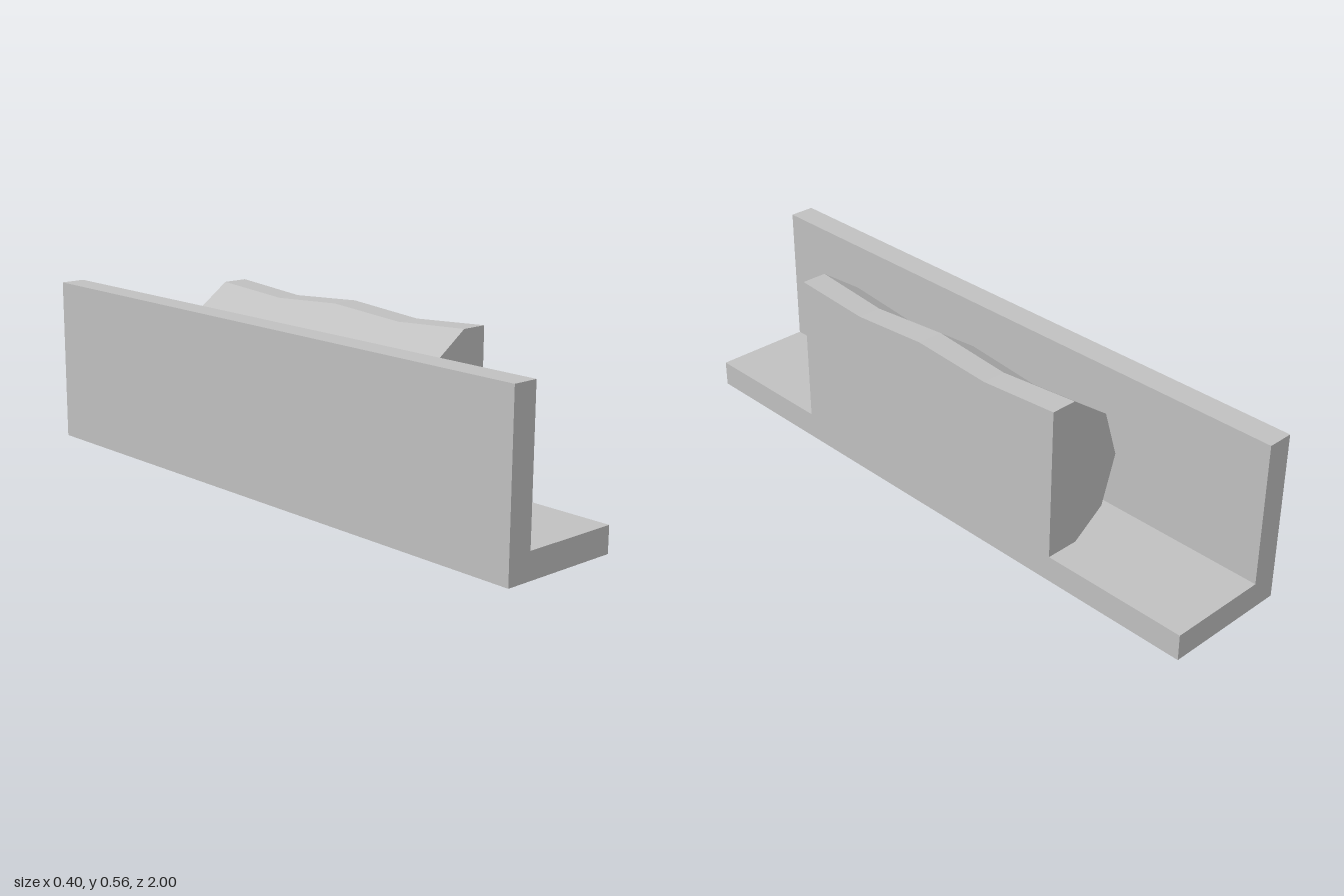
import * as THREE from 'three';

const FLOOR = 0.082; // top of the base plate
const CENTER = [0.2, 0.31]; // the ribs shrink towards this point

// Half-octagon-like outline, counter-clockwise seen from the front
const OUTLINE = [
  [0.2, FLOOR], [0.2, 0.556], [0.118, 0.556], [-0.012, 0.463],
  [-0.061, 0.31], [-0.012, 0.157], [0.118, 0.064],
];

// Stations along z: position and scale of the outline
const STATIONS = [[0.535, 1], [0.27, 0.925], [0.005, 1], [-0.26, 0.925], [-0.525, 1]];

function loft() {
  const sections = STATIONS.map(([z, s]) => OUTLINE.map(([x, y], i) => [
    CENTER[0] + (x - CENTER[0]) * s,
    i === 0 ? FLOOR : CENTER[1] + (y - CENTER[1]) * s,
    z,
  ]));
  const n = OUTLINE.length;
  const out = [];
  const tri = (...corners) => corners.forEach((c) => out.push(...c));

  // Walls between neighbouring stations
  for (let k = 0; k < sections.length - 1; k++) {
    for (let i = 0; i < n; i++) {
      const j = (i + 1) % n;
      const [f, b] = [sections[k], sections[k + 1]];
      tri(f[i], b[i], b[j]);
      tri(f[i], b[j], f[j]);
    }
  }
  // End caps
  const front = sections[0];
  const back = sections[sections.length - 1];
  for (let i = 1; i < n - 1; i++) {
    tri(front[0], front[i], front[i + 1]);
    tri(back[0], back[i + 1], back[i]);
  }

  const geometry = new THREE.BufferGeometry();
  geometry.setAttribute('position', new THREE.Float32BufferAttribute(out, 3));
  geometry.computeVertexNormals();
  return geometry;
}

export function createModel() {
  const group = new THREE.Group();
  group.name = 'angleBracketWithGrip';
  const grey = new THREE.MeshStandardMaterial({ color: 0xc0c0c0 });
  grey.name = 'light grey';

  // L-shaped rail: base plate and upright wall in one extrusion
  const profile = new THREE.Shape([
    [-0.2, 0], [0.2, 0], [0.2, FLOOR], [-0.119, FLOOR], [-0.119, 0.53], [-0.2, 0.53],
  ].map(([x, y]) => new THREE.Vector2(x, y)));
  const railGeometry = new THREE.ExtrudeGeometry(profile, { depth: 2, bevelEnabled: false });
  railGeometry.translate(0, 0, -1);
  const rail = new THREE.Mesh(railGeometry, grey);
  rail.name = 'angleRail';

  // Faceted, gently waved block standing on the base plate
  const block = new THREE.Mesh(loft(), grey);
  block.name = 'wavedBlock';

  group.add(rail, block);
  return group;
}
